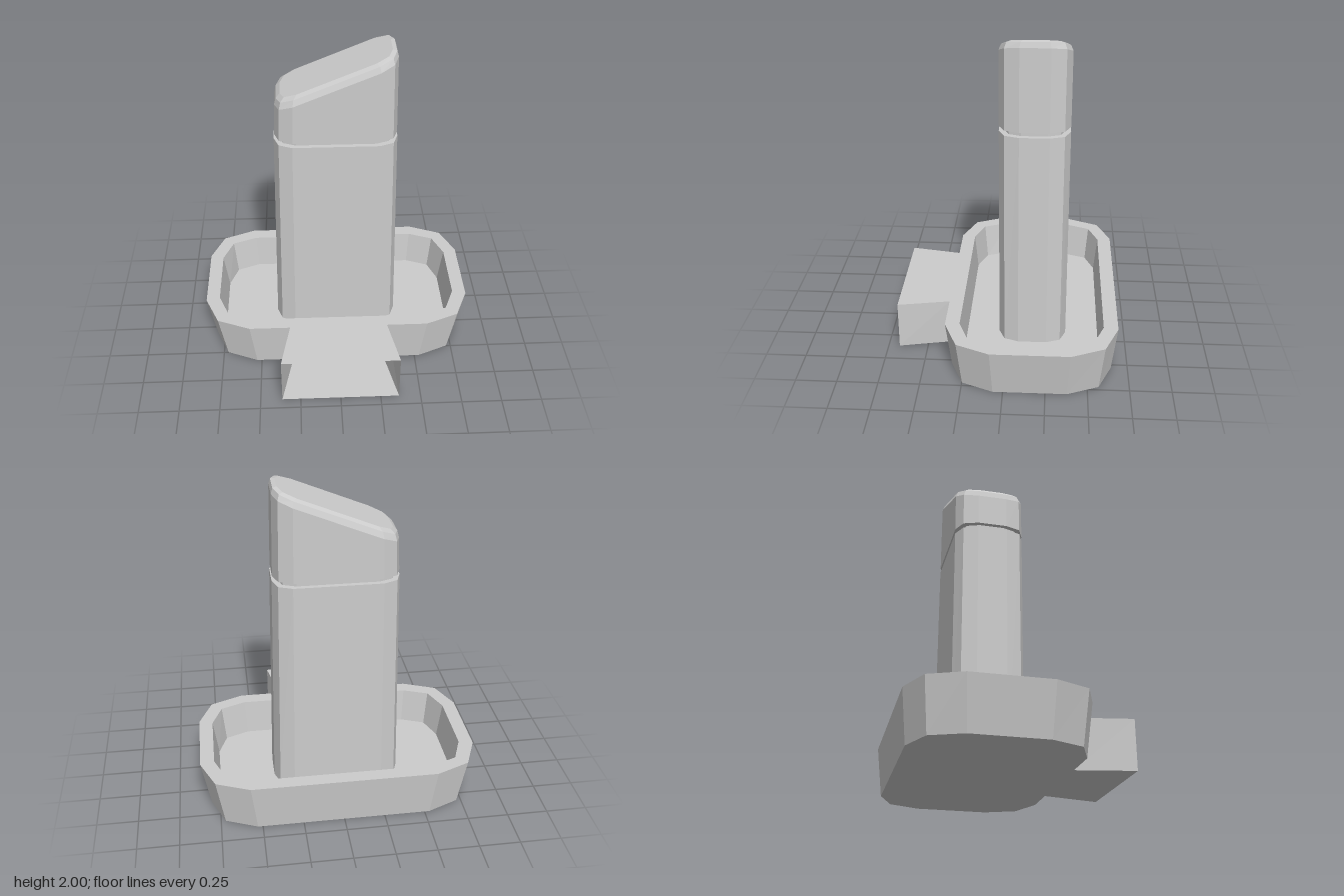
import * as THREE from 'three';

const CZ = -0.16; // z of the tray and tower centre

// Twelve-point rounded rectangle from three points of one quadrant, running from +x towards +z
function ring(q) {
  const r = [...q].reverse();
  return [
    ...q,
    ...r.map(([x, z]) => [-x, z]),
    ...q.map(([x, z]) => [-x, -z]),
    ...r.map(([x, z]) => [x, -z]),
  ];
}

// Outline with a spout flaring out of the front edge
function spouted(q, neck, lip) {
  const pts = ring(q);
  pts.splice(3, 0, neck, lip, [-lip[0], lip[1]], [-neck[0], neck[1]]);
  return pts;
}

const at = (pts, height) =>
  pts.map(([x, z]) => new THREE.Vector3(x, typeof height === 'function' ? height(x) : height, z + CZ));

// Walls joining successive rings, with an optional lid and an optional open side
function loft(rings, { lid = false, open = -1 } = {}) {
  const pos = [];
  const tri = (...v) => v.forEach((p) => pos.push(p.x, p.y, p.z));
  const n = rings[0].length;
  for (let k = 0; k + 1 < rings.length; k++) {
    const lo = rings[k], hi = rings[k + 1];
    for (let i = 0; i < n; i++) {
      if (i === open) continue;
      const j = (i + 1) % n;
      tri(lo[i], hi[i], lo[j]);
      tri(lo[j], hi[i], hi[j]);
    }
  }
  if (lid) {
    const top = rings[rings.length - 1];
    for (let i = 1; i + 1 < n; i++) tri(top[0], top[i + 1], top[i]);
  }
  const g = new THREE.BufferGeometry();
  g.setAttribute('position', new THREE.Float32BufferAttribute(pos, 3));
  g.computeVertexNormals();
  return g;
}

// Flat horizontal plate facing up (1) or down (-1)
function plate(outline, y, facing, hole) {
  const flat = (pts) => pts.map(([x, z]) => new THREE.Vector2(x, -facing * z));
  const s = new THREE.Shape(flat(outline));
  if (hole) s.holes.push(new THREE.Path(flat(hole)));
  return new THREE.ShapeGeometry(s).rotateX(-facing * Math.PI / 2).translate(0, y, CZ);
}

export function createModel() {
  const model = new THREE.Group();
  const grey = new THREE.MeshStandardMaterial({ color: 0xcccccc, flatShading: true, side: THREE.DoubleSide });
  grey.name = 'light grey';
  const add = (name, geometry, parent = model) => {
    const m = new THREE.Mesh(geometry, grey);
    m.name = name;
    parent.add(m);
  };

  // Hollow tray whose spout is open at the front
  const tray = new THREE.Group();
  tray.name = 'tray';
  model.add(tray);
  const H = 0.305, FLOOR = 0.08;
  const foot = spouted([[0.8, 0.22], [0.722, 0.408], [0.53, 0.489]], [0.295, 0.489], [0.365, 0.84]);
  const brim = spouted([[0.855, 0.235], [0.77, 0.435], [0.565, 0.52]], [0.308, 0.52], [0.365, 0.84]);
  const innerTop = ring([[0.77, 0.21], [0.705, 0.372], [0.55, 0.433]]);
  const innerFloor = ring([[0.737, 0.203], [0.682, 0.353], [0.537, 0.411]]);
  add('trayOuterWall', loft([at(foot, 0), at(brim, H)], { open: 4 }), tray);
  add('trayInnerWall', loft([at(innerTop, H), at(innerFloor, FLOOR)]), tray);
  add('trayRim', plate(brim, H, 1, innerTop), tray);
  add('trayFloor', plate(innerFloor, FLOOR, 1), tray);
  add('trayBottom', plate(foot, 0, -1), tray);

  // Tapered tower
  const section = (a, b) => ring([[a, b * 0.42], [a * 0.92, b * 0.83], [a * 0.7, b]]);
  add('towerBody', loft([
    at(section(0.395, 0.209), FLOOR),
    at(section(0.373, 0.209), 1.445),
    at(section(0.343, 0.18), 1.445),
  ]));
  // Recessed groove below the cap
  add('groove', loft([at(section(0.343, 0.18), 1.44), at(section(0.343, 0.18), 1.48)]));

  // Cap with a slanted, bevelled top
  const slant = (drop) => (x) => 1.87 + 0.408 * x - drop;
  add('slantedCap', loft([
    at(section(0.343, 0.18), 1.475),
    at(section(0.37, 0.209), 1.475),
    at(section(0.362, 0.209), slant(0.05)),
    at(section(0.352, 0.194), slant(0.014)),
    at(section(0.328, 0.165), slant(0)),
  ], { lid: true }));

  return model;
}
